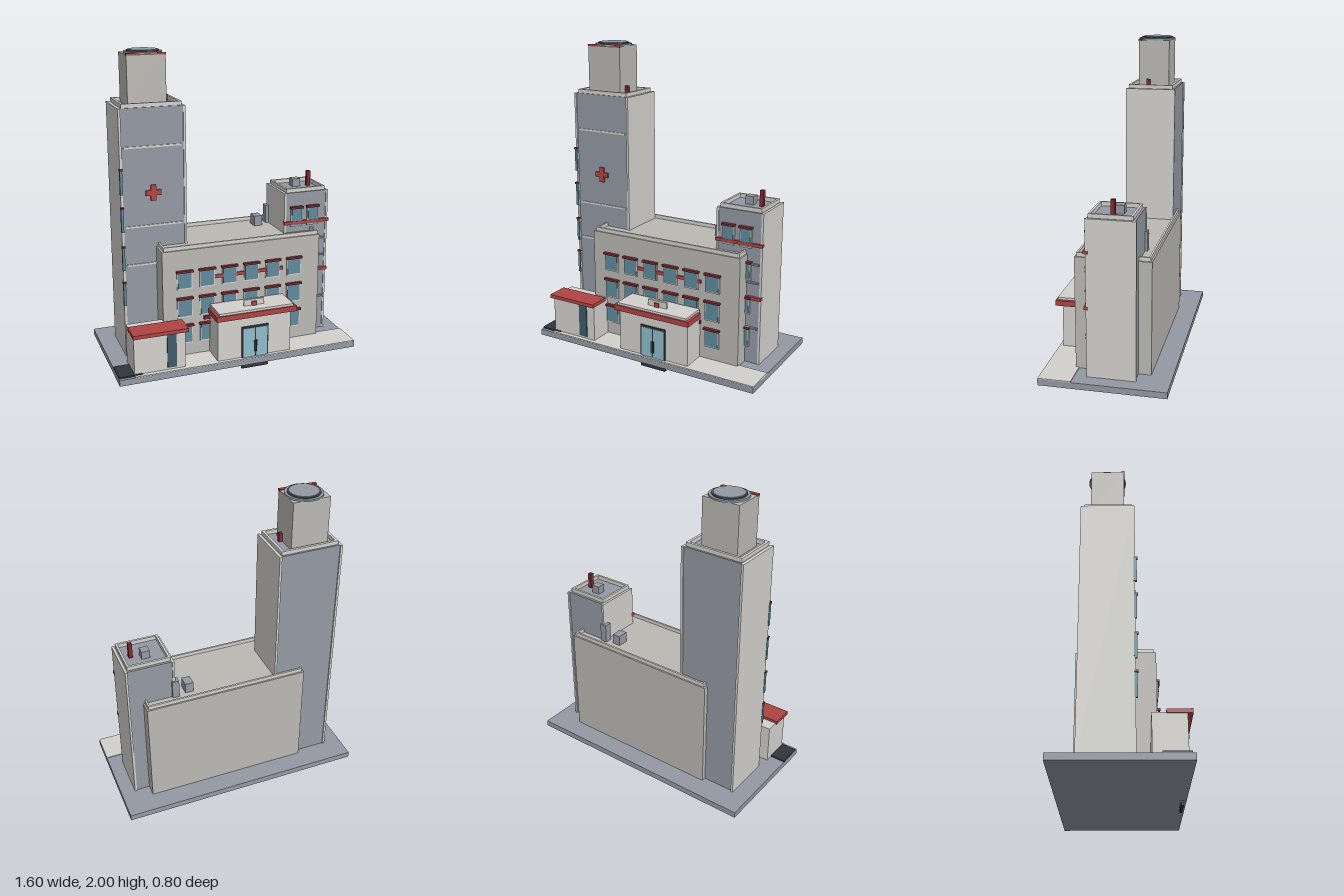
import * as THREE from 'three';

const mat = (color) => new THREE.MeshStandardMaterial({ color });

export function createModel() {
  const model = new THREE.Group();
  const M = {
    light: mat(0xd3d2ce), beige: mat(0xbbb9b4), grey: mat(0x9499a3), red: mat(0xb04444),
    darkRed: mat(0x7d2b33), dark: mat(0x2f363c), glass: mat(0x5f8a9b),
    doorGlass: mat(0x8fbccb), steel: mat(0x3d5a68),
  };

  // Box given by its limits on each axis
  function box(name, m, x0, x1, y0, y1, z0, z1, parent = model) {
    const mesh = new THREE.Mesh(new THREE.BoxGeometry(x1 - x0, y1 - y0, z1 - z0), M[m]);
    mesh.position.set((x0 + x1) / 2, (y0 + y1) / 2, (z0 + z1) / 2);
    mesh.name = name;
    parent.add(mesh);
    return mesh;
  }

  // Roof rim: rectangle with a rectangular hole, standing on y0
  function parapet(name, x0, x1, z0, z1, y0, y1, t) {
    const rect = (P, d) => new P([[x0 + d, -z1 + d], [x1 - d, -z1 + d], [x1 - d, -z0 - d], [x0 + d, -z0 - d]]
      .map(([x, y]) => new THREE.Vector2(x, y)));
    const shape = rect(THREE.Shape, 0);
    shape.holes.push(rect(THREE.Path, t));
    const geo = new THREE.ExtrudeGeometry(shape, { depth: y1 - y0, bevelEnabled: false });
    const mesh = new THREE.Mesh(geo.rotateX(-Math.PI / 2), M.light);
    mesh.position.y = y0;
    mesh.name = name;
    model.add(mesh);
  }

  // Window with pale frame, glass, mullion and red lintel, on a wall facing +z
  function makeWindow(name, x, y0, y1, z, w) {
    const g = new THREE.Group();
    const h = w / 2;
    g.name = name;
    box('windowFrame', 'light', x - h, x + h, y0, y1, z - 0.005, z + 0.008, g);
    box('windowGlass', 'glass', x - h + 0.006, x + h - 0.006, y0 + 0.008, y1 - 0.008, z, z + 0.011, g);
    box('windowLintel', 'darkRed', x - h - 0.005, x + h + 0.005, y1 - 0.008, y1 + 0.005, z - 0.005, z + 0.022, g);
    model.add(g);
  }

  // Cylinder layer of the helipad
  function disc(name, m, r, y0, y1) {
    const mesh = new THREE.Mesh(new THREE.CylinderGeometry(r, r, y1 - y0, 32), M[m]);
    mesh.position.set(-0.48, (y0 + y1) / 2, -0.092);
    mesh.name = name;
    model.add(mesh);
  }

  // Ground
  box('base', 'grey', -0.8, 0.8, 0.03, 0.07, -0.4, 0.385);
  box('pavement', 'light', -0.7, 0.8, 0.065, 0.076, 0.18, 0.384);
  box('darkPatch', 'dark', -0.8, -0.65, 0.065, 0.08, 0.21, 0.365);

  // Main block
  box('mainBlock', 'beige', -0.467, 0.607, 0.07, 0.787, -0.27, 0.2);
  parapet('mainParapet', -0.455, 0.597, -0.26, 0.19, 0.787, 0.812, 0.012);
  for (const [y0, y1] of [[0.16, 0.285], [0.34, 0.47], [0.53, 0.65]])
    for (let i = 0; i < 6; i++) makeWindow('mainWindow', -0.325 + i * 0.15, y0, y1, 0.2, 0.1);
  box('upperRedBand', 'red', -0.125, 0.345, 0.578, 0.6, 0.19, 0.209);
  box('lowerRedBand', 'darkRed', -0.2, 0.347, 0.308, 0.33, 0.19, 0.215);
  box('roofUnit', 'grey', 0.273, 0.328, 0.785, 0.855, -0.187, -0.113);
  box('roofDuct', 'grey', 0.373, 0.418, 0.785, 0.91, -0.205, -0.157);

  // Tall tower: grey core between pale side slabs
  box('towerCore', 'grey', -0.672, -0.278, 0.07, 1.67, -0.24, 0.07);
  for (const x of [-0.685, -0.28]) box('towerSideSlab', 'light', x, x + 0.015, 0.07, 1.67, -0.248, 0.078);
  parapet('towerParapet', -0.662, -0.285, -0.228, 0.063, 1.67, 1.695, 0.016);
  for (const y of [0.68, 0.93, 1.43]) box('towerBand', 'light', -0.657, -0.295, y - 0.006, y + 0.006, 0.065, 0.076);
  box('crossUpright', 'red', -0.495, -0.461, 1.09, 1.19, 0.065, 0.082);
  box('crossArm', 'red', -0.527, -0.429, 1.123, 1.157, 0.065, 0.0815);
  for (const y of [0.42, 0.655, 0.905, 1.145]) {
    box('slimWindow', 'glass', -0.688, -0.672, y, y + 0.15, 0.07, 0.088);
    box('slimWindowLintel', 'darkRed', -0.69, -0.67, y + 0.148, y + 0.16, 0.07, 0.094);
  }

  // Penthouse and helipad
  box('penthouse', 'beige', -0.608, -0.365, 1.665, 1.978, -0.19, 0.013);
  box('penthouseRedStrip', 'red', -0.61, -0.363, 1.972, 1.985, -0.006, 0.016);
  disc('helipadRim', 'grey', 0.118, 1.978, 1.989);
  disc('helipadRing', 'steel', 0.101, 1.985, 1.996);
  disc('helipadDeck', 'grey', 0.092, 1.985, 2);
  box('towerVent', 'darkRed', -0.365, -0.343, 1.665, 1.725, -0.067, -0.043);

  // Side tower
  box('sideTowerCore', 'grey', 0.407, 0.698, 0.07, 1.057, -0.19, 0.1);
  for (const x of [0.395, 0.695]) box('sideTowerSlab', 'light', x, x + 0.014, 0.07, 1.057, -0.197, 0.105);
  parapet('sideTowerParapet', 0.412, 0.69, -0.175, 0.09, 1.057, 1.083, 0.014);
  for (const [y0, y1] of [[0.18, 0.31], [0.4, 0.51], [0.62, 0.74], [0.83, 0.96]])
    for (const x of [0.48, 0.597]) makeWindow('sideTowerWindow', x, y0, y1, 0.105, 0.078);
  for (const y of [0.31, 0.61, 0.73]) box('sideTowerLedge', 'grey', 0.61, 0.69, y - 0.005, y + 0.005, 0.095, 0.115);
  for (const y of [0.51, 0.855]) box('sideTowerRedBand', 'red', 0.392, 0.712, y - 0.01, y + 0.01, 0.09, 0.118);
  box('sideRoofUnit', 'grey', 0.518, 0.573, 1.05, 1.11, -0.097, -0.042);
  box('sideChimney', 'darkRed', 0.618, 0.643, 1.05, 1.16, -0.058, -0.032);

  // Entrance porch
  box('porch', 'light', -0.16, 0.338, 0.07, 0.365, 0.19, 0.36);
  box('porchCanopy', 'red', -0.18, 0.363, 0.36, 0.395, 0.24, 0.4);
  box('porchRoof', 'light', -0.16, 0.343, 0.36, 0.41, 0.215, 0.39);
  box('signBoard', 'light', 0.03, 0.165, 0.405, 0.45, 0.308, 0.323);
  box('signMark', 'red', 0.08, 0.113, 0.405, 0.437, 0.32, 0.333);

  // Double door
  box('doorFrame', 'dark', 0, 0.181, 0, 0.287, 0.352, 0.368);
  for (const x of [0.009, 0.094]) box('doorLeaf', 'doorGlass', x, x + 0.078, 0.04, 0.275, 0.355, 0.371);
  for (const x of [0.08, 0.096]) box('doorHandle', 'dark', x, x + 0.005, 0.11, 0.19, 0.365, 0.377);

  // Side annex
  box('annex', 'light', -0.7, -0.372, 0.07, 0.328, 0.16, 0.355);
  box('annexCanopy', 'red', -0.708, -0.357, 0.322, 0.346, 0.24, 0.385);
  box('annexDoor', 'steel', -0.49, -0.43, 0.09, 0.322, 0.35, 0.362);

  return model;
}
